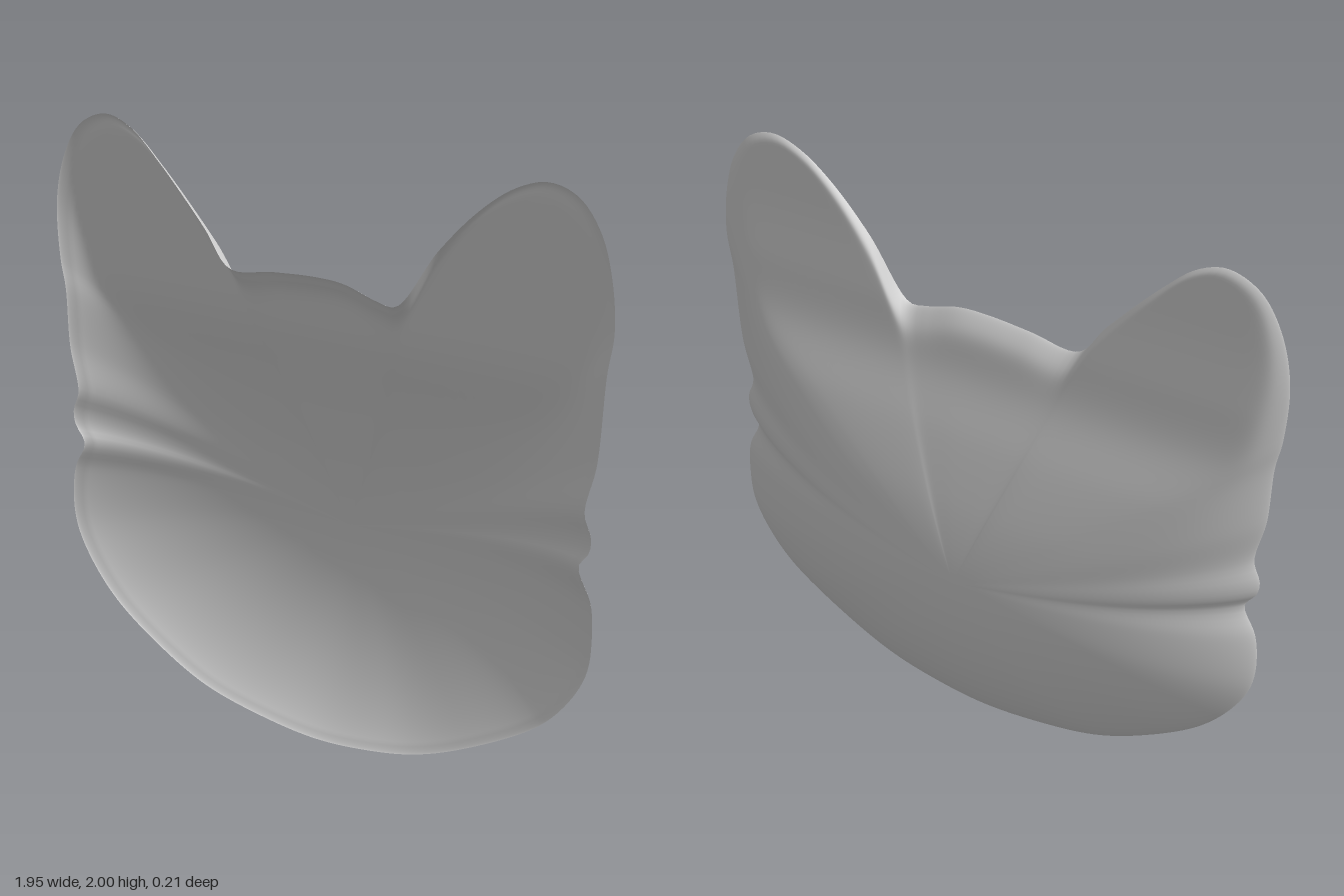
import * as THREE from 'three';

// Head outline, counter-clockwise from the chin: cheek, ear, brow, ear, cheek
const OUTLINE = [
  [0, 0], [0.2, 0.02], [0.37, 0.06], [0.55, 0.14], [0.8, 0.3], [0.9, 0.42], [0.95, 0.53],
  [0.96, 0.65], [0.95, 0.76], [0.905, 0.87], [0.935, 0.92], [0.94, 0.97], [0.915, 1.04],
  [0.945, 1.2], [0.96, 1.48], [0.975, 1.6], [0.96, 1.75], [0.92, 1.88], [0.85, 1.97],
  [0.76, 2], [0.66, 1.97], [0.55, 1.89], [0.42, 1.75], [0.28, 1.555], [0.22, 1.56],
  [0.1, 1.595], [0, 1.6], [-0.15, 1.59], [-0.31, 1.575], [-0.4, 1.69], [-0.57, 1.88],
  [-0.67, 1.97], [-0.76, 2], [-0.86, 1.96], [-0.93, 1.86], [-0.975, 1.7], [-0.975, 1.5],
  [-0.96, 1.4], [-0.955, 1.2], [-0.93, 1.04], [-0.955, 0.97], [-0.95, 0.92], [-0.915, 0.86],
  [-0.96, 0.76], [-0.975, 0.63], [-0.96, 0.53], [-0.9, 0.41], [-0.8, 0.29], [-0.62, 0.16],
  [-0.44, 0.07], [-0.22, 0.02],
];
const CENTER_Y = 0.7, RIM_Z = 0.104, SEGMENTS = 320, RINGS = 48;

// Depth limit by height (every 0.2 units), thinning towards the ear tips
const depthLimit = new THREE.SplineCurve(
  [0.6, 0.5, 0.4, 0.32, 0.24, 0.18, 0.125, 0.068, 0.045, 0.025, 0.012]
    .map((d, i) => new THREE.Vector2(i * 0.2, d)));

// Depth behind the rim: a dome blended smoothly with the height limit
function depthAt(r, y) {
  const dome = 0.216 * Math.pow(Math.max(0, 1 - Math.pow(r, 2.2)), 0.8);
  if (dome < 1e-5) return 0;
  const limit = depthLimit.getPoint(THREE.MathUtils.clamp(y / 2, 0, 1)).y;
  return Math.pow(Math.pow(dome, -6) + Math.pow(limit, -6), -1 / 6);
}

// One skin of the mask, made of rings shrinking from the outline to the centre
function skin(name, rim, thickness, facesFront) {
  const positions = [0, CENTER_Y, RIM_Z - depthAt(0, CENTER_Y) + thickness];
  const index = [];
  const tri = (a, b, c) => (facesFront ? index.push(a, b, c) : index.push(a, c, b));
  for (let k = 1; k <= RINGS; k++) {
    const r = Math.sin((k / RINGS) * Math.PI / 2); // finer rings near the rim
    for (let i = 0; i < SEGMENTS; i++) {
      const x = rim[i].x * r;
      const y = CENTER_Y + (rim[i].y - CENTER_Y) * r;
      const offset = thickness * Math.min(1, (1 - r) * 30);
      positions.push(x, y, RIM_Z - depthAt(r, y) + offset);
      const j = (i + 1) % SEGMENTS;
      const outer = 1 + (k - 1) * SEGMENTS, inner = outer - SEGMENTS;
      if (k === 1) tri(0, outer + i, outer + j);
      else {
        tri(inner + i, outer + i, outer + j);
        tri(inner + i, outer + j, inner + j);
      }
    }
  }
  const geometry = new THREE.BufferGeometry();
  geometry.setAttribute('position', new THREE.Float32BufferAttribute(positions, 3));
  geometry.setIndex(index);
  geometry.computeVertexNormals();
  const mesh = new THREE.Mesh(geometry,
    new THREE.MeshStandardMaterial({ color: 0xcccccc, side: THREE.DoubleSide }));
  mesh.name = name;
  return mesh;
}

export function createModel() {
  const group = new THREE.Group();
  group.name = 'catHeadDish';
  const curve = new THREE.CatmullRomCurve3(
    OUTLINE.map(([x, y]) => new THREE.Vector3(x, y, 0)), true, 'centripetal');
  const rim = curve.getSpacedPoints(SEGMENTS).slice(0, SEGMENTS);
  // Convex back and hollow front, meeting at the rim
  group.add(skin('backShell', rim, 0, false));
  group.add(skin('hollowFront', rim, 0.006, true));
  return group;
}
